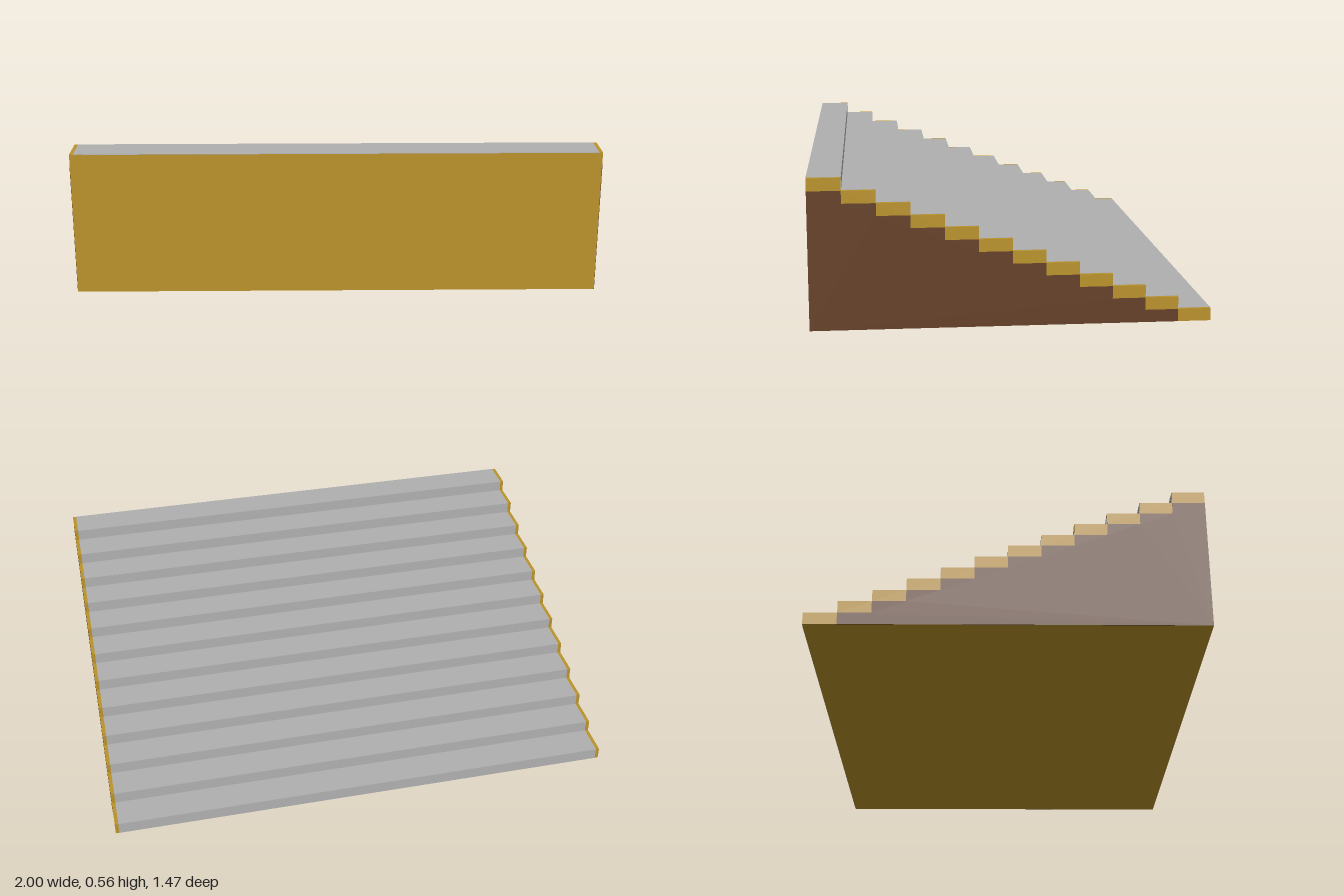
import * as THREE from 'three';

const STEPS = 12, HALF = 0.733, HEIGHT = 0.558;
const RUN = (2 * HALF) / STEPS, RISE = HEIGHT / STEPS;
const SKIN = 0.002; // thickness of the thin facings

const gold = new THREE.MeshStandardMaterial({ color: 0xba922a });
const brown = new THREE.MeshStandardMaterial({ color: 0x643f26 });
const grey = new THREE.MeshStandardMaterial({ color: 0xb0b0b0 });

// Staircase profile rising towards +z, extruded along x; `lower` drops it by whole steps
function stairGeometry(lower, width) {
  const shape = new THREE.Shape();
  shape.moveTo(-HALF, 0);
  shape.lineTo(HALF - lower * RUN, 0);
  for (let i = lower; i < STEPS; i++) {
    const y = (i + 1 - lower) * RISE;
    shape.lineTo(HALF - i * RUN, y);
    shape.lineTo(HALF - (i + 1) * RUN, y);
  }
  return new THREE.ExtrudeGeometry(shape, { depth: width, bevelEnabled: false })
    .translate(0, 0, -width / 2)
    .rotateY(Math.PI / 2);
}

export function createModel() {
  const model = new THREE.Group();
  const add = (name, geometry, material, x = 0, y = 0, z = 0) => {
    const mesh = new THREE.Mesh(geometry, material);
    mesh.name = name;
    mesh.position.set(x, y, z);
    model.add(mesh);
  };

  // Solid body, with its step ends showing above the side panels
  add('stairBody', stairGeometry(0, 1.998), gold);

  // Side panels, one step lower than the body
  const panel = stairGeometry(1, SKIN);
  add('leftSidePanel', panel, brown, 1 - SKIN / 2);
  add('rightSidePanel', panel, brown, -1 + SKIN / 2);

  // Grey facing on every tread and riser, leaving a narrow border at each end
  const tread = new THREE.BoxGeometry(1.97, SKIN, RUN);
  const riser = new THREE.BoxGeometry(1.97, RISE, SKIN);
  for (let i = 0; i < STEPS; i++) {
    const z = -HALF + i * RUN;
    add(`tread${i + 1}`, tread, grey, 0, (i + 1) * RISE, z + RUN / 2);
    add(`riser${i + 1}`, riser, grey, 0, (i + 0.5) * RISE, z);
  }
  return model;
}
